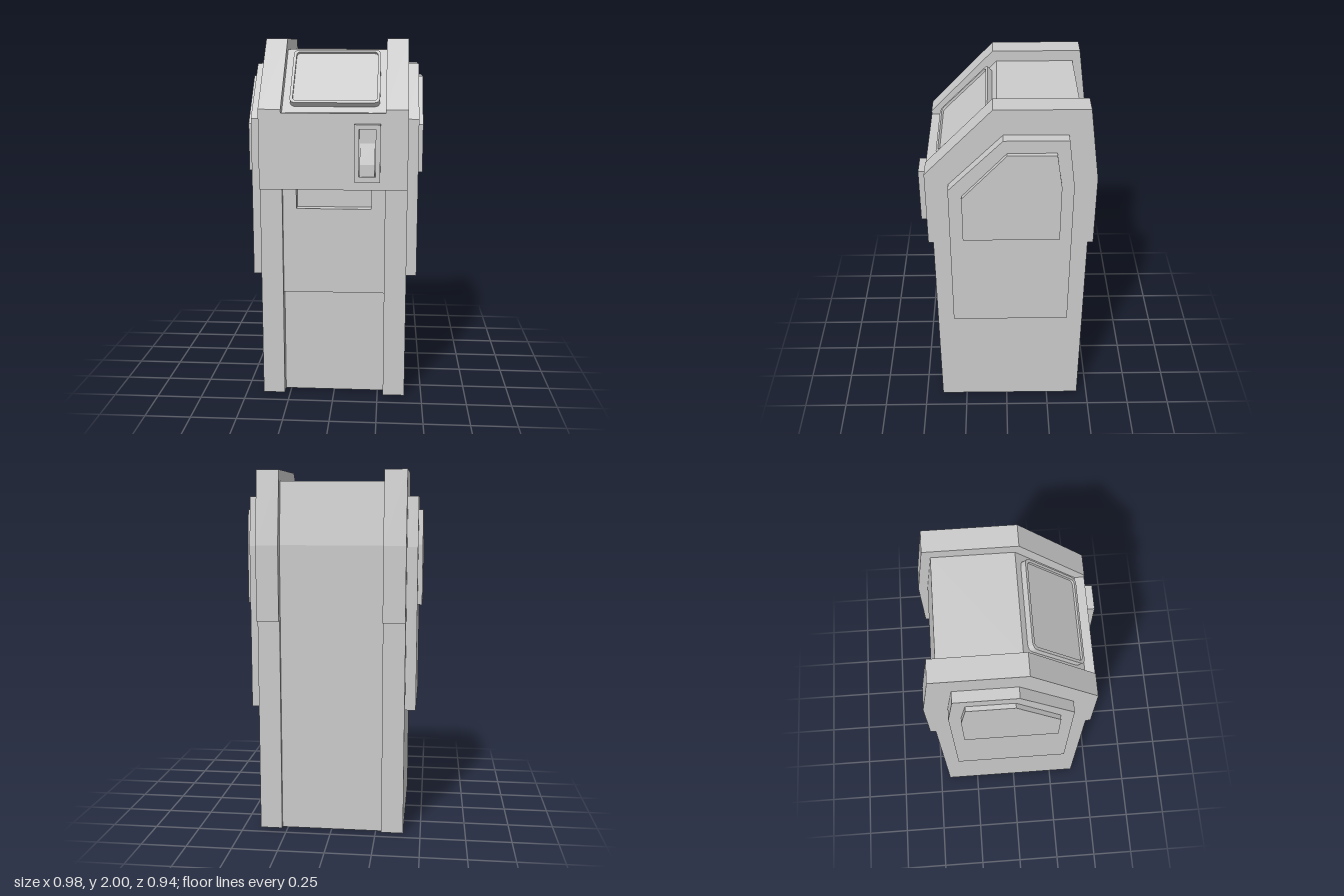
import * as THREE from 'three';

const material = new THREE.MeshStandardMaterial({ color: 0xcccccc, flatShading: true });

function add(parent, name, geometry) {
  const mesh = new THREE.Mesh(geometry, material);
  mesh.name = name;
  parent.add(mesh);
  return mesh;
}

// Extrude a side profile given as [z, y] points from x0 to x1
function sideExtrude(points, x0, x1) {
  const shape = new THREE.Shape(points.map(([z, y]) => new THREE.Vector2(z, y)));
  const g = new THREE.ExtrudeGeometry(shape, { depth: x1 - x0, bevelEnabled: false });
  g.rotateY(-Math.PI / 2);
  g.translate(x1, 0, 0);
  return g;
}

function box(x0, x1, y0, y1, z0, z1) {
  const g = new THREE.BoxGeometry(x1 - x0, y1 - y0, z1 - z0);
  g.translate((x0 + x1) / 2, (y0 + y1) / 2, (z0 + z1) / 2);
  return g;
}

// Centred rectangle with rounded corners
function roundedRect(path, w, h, r) {
  const x = w / 2, y = h / 2;
  path.moveTo(-x + r, -y);
  path.lineTo(x - r, -y);
  path.quadraticCurveTo(x, -y, x, -y + r);
  path.lineTo(x, y - r);
  path.quadraticCurveTo(x, y, x - r, y);
  path.lineTo(-x + r, y);
  path.quadraticCurveTo(-x, y, -x, y - r);
  path.lineTo(-x, -y + r);
  path.quadraticCurveTo(-x, -y, -x + r, -y);
  return path;
}

// Rounded-corner ring, extruded towards +z
function ring(w, h, r, rim, rInner, depth) {
  const shape = roundedRect(new THREE.Shape(), w, h, r);
  shape.holes.push(roundedRect(new THREE.Path(), w - 2 * rim, h - 2 * rim, rInner));
  return new THREE.ExtrudeGeometry(shape, { depth, bevelEnabled: false, curveSegments: 4 });
}

const FRAME = [
  [0.4, 0], [0.4, 1.195], [0.427, 1.195], [0.427, 1.63], [0.07, 2], [-0.415, 2],
  [-0.47, 1.6], [-0.47, 1.19], [-0.44, 1.19], [-0.44, 0],
];
const OUTER_PANEL = [
  [0.305, 0.685], [0.305, 1.57], [0.02, 1.86], [-0.31, 1.86], [-0.345, 1.59], [-0.345, 0.685],
];
const INNER_PANEL = [
  [0.235, 1.27], [0.235, 1.535], [0, 1.79], [-0.25, 1.79], [-0.28, 1.6], [-0.28, 1.27],
];
// Core with a stepped front, dispensing recess, overhanging band and sloped console
const BODY = [
  [0.337, 0], [0.337, 0.6], [0.375, 0.6], [0.375, 1.08], [0.315, 1.08], [0.315, 1.195],
  [0.427, 1.195], [0.427, 1.61], [0.375, 1.61], [0.05, 1.94], [-0.375, 1.94],
  [-0.42, 1.6], [-0.42, 0],
];

export function createModel() {
  const model = new THREE.Group();
  model.name = 'kiosk';

  add(model, 'body', sideExtrude(BODY, -0.282, 0.282));

  // Mirrored sides: frame, stacked panels and the infill beside the slot
  for (const [side, s] of [['left', 1], ['right', -1]]) {
    const span = (points, a, b) => sideExtrude(points, Math.min(s * a, s * b), Math.max(s * a, s * b));
    add(model, side + 'Frame', span(FRAME, 0.282, 0.404));
    add(model, side + 'OuterPanel', span(OUTER_PANEL, 0.404, 0.463));
    add(model, side + 'InnerPanel', span(INNER_PANEL, 0.463, 0.488));
    const [x0, x1] = s > 0 ? [0.207, 0.282] : [-0.282, -0.207];
    add(model, side + 'SlotInfill', box(x0, x1, 1.08, 1.195, 0.315, 0.375));
  }

  // Display lying on the sloped console
  const display = new THREE.Group();
  display.name = 'display';
  display.position.set(0.004, 1.777, 0.2125);
  display.rotation.x = -Math.PI / 4;
  add(display, 'displayBezel', ring(0.49, 0.39, 0.035, 0.016, 0.025, 0.033));
  const glass = roundedRect(new THREE.Shape(), 0.46, 0.36, 0.025);
  add(display, 'displayGlass', new THREE.ExtrudeGeometry(glass, { depth: 0.02, bevelEnabled: false, curveSegments: 4 }));
  model.add(display);

  // Card reader: hollow housing with a ramp inside
  const reader = new THREE.Group();
  reader.name = 'cardReader';
  const housing = new THREE.Shape([[0.115, 1.245], [0.255, 1.245], [0.255, 1.555], [0.115, 1.555]]
    .map(([x, y]) => new THREE.Vector2(x, y)));
  housing.holes.push(new THREE.Path([[0.141, 1.275], [0.141, 1.53], [0.23, 1.53], [0.23, 1.275]]
    .map(([x, y]) => new THREE.Vector2(x, y))));
  const housingGeometry = new THREE.ExtrudeGeometry(housing, { depth: 0.045, bevelEnabled: false });
  housingGeometry.translate(0, 0, 0.427);
  add(reader, 'readerHousing', housingGeometry);
  add(reader, 'readerRamp', sideExtrude(
    [[0.427, 1.275], [0.46, 1.275], [0.46, 1.34], [0.427, 1.45]], 0.145, 0.226));
  model.add(reader);

  return model;
}
